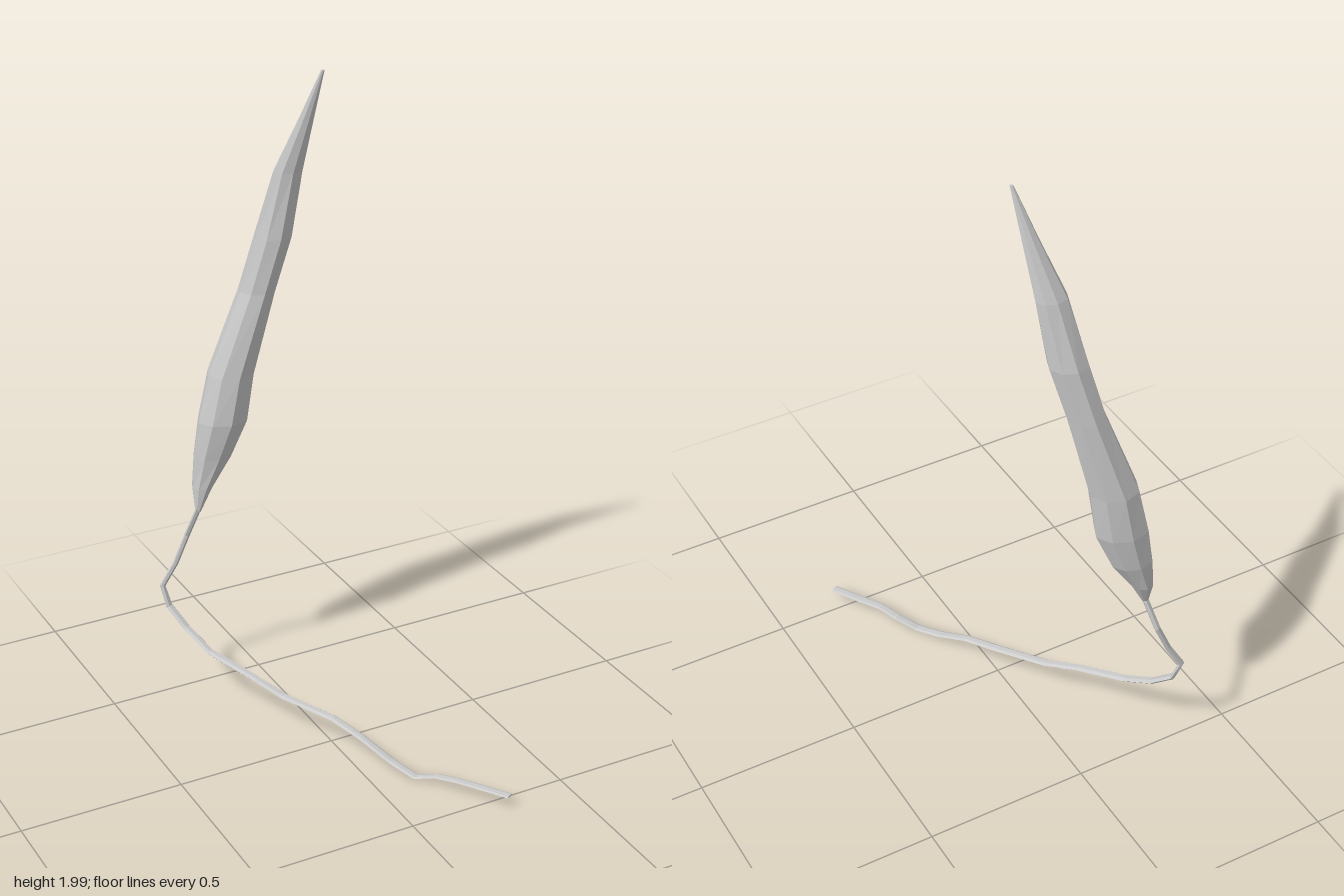
import * as THREE from 'three';

const material = new THREE.MeshStandardMaterial({ color: 0xcccccc, flatShading: true });

// Skins a list of equal-length rings (each running counter-clockwise seen from
// the far end) and closes both ends with a fan.
function loft(name, rings) {
  const n = rings[0].length;
  const points = rings.flat();
  const index = [];
  for (let r = 0; r < rings.length - 1; r++) {
    for (let i = 0; i < n; i++) {
      const a = r * n + i, b = r * n + (i + 1) % n;
      index.push(a, b, b + n, a, b + n, a + n);
    }
  }
  const last = (rings.length - 1) * n;
  for (let i = 1; i < n - 1; i++) {
    index.push(0, i + 1, i, last, last + i, last + i + 1);
  }
  const geometry = new THREE.BufferGeometry().setFromPoints(points);
  geometry.setIndex(index);
  geometry.computeVertexNormals();
  const mesh = new THREE.Mesh(geometry, material);
  mesh.name = name;
  return mesh;
}

// Flattened stem trailing along the ground, then curling up into the bud
function createStem() {
  const path = [
    [0.293, 0.047, 0.55], [0.25, 0.045, 0.48], [0.2, 0.044, 0.405], [0.17, 0.032, 0.345],
    [0.128, 0.011, 0.29], [0.09, 0.031, 0.21], [0.045, 0.07, 0.115], [0, 0.095, 0.01],
    [-0.09, 0.115, -0.14], [-0.15, 0.15, -0.24], [-0.225, 0.185, -0.375],
    [-0.262, 0.235, -0.465], [-0.292, 0.29, -0.525], [-0.303, 0.355, -0.547],
    [-0.26, 0.43, -0.538], [-0.222, 0.52, -0.532], [-0.197, 0.62, -0.497], [-0.185, 0.68, -0.495],
  ].map((p) => new THREE.Vector3(...p));
  const across = new THREE.Vector3(0.87, 0, -0.49).normalize();
  const rings = path.map((p, k) => {
    const tangent = path[Math.min(k + 1, path.length - 1)].clone()
      .sub(path[Math.max(k - 1, 0)]).normalize();
    const side = across.clone().addScaledVector(tangent, -across.dot(tangent)).normalize();
    const up = tangent.clone().cross(side);
    const width = k < 13 ? 0.0145 : 0.011;
    const depth = k < 4 ? 0.003 : Math.min(0.003 + (k - 3) * 0.0008, 0.008);
    return Array.from({ length: 6 }, (_, i) => {
      const a = i * Math.PI / 3;
      return p.clone().addScaledVector(side, width * Math.cos(a))
        .addScaledVector(up, depth * Math.sin(a));
    });
  });
  return loft('stem', rings);
}

// Long closed bud: each section is [y, min x, max x, min z, max z]
function createBud() {
  const sections = [
    [0.61, -0.207, -0.19, -0.505, -0.49],
    [0.69, -0.21, -0.148, -0.537, -0.473],
    [0.79, -0.206, -0.082, -0.55, -0.453],
    [0.91, -0.192, -0.032, -0.555, -0.425],
    [1.06, -0.157, -0.012, -0.55, -0.42],
    [1.32, -0.062, 0.047, -0.513, -0.402],
    [1.49, -0.02, 0.092, -0.486, -0.38],
    [1.69, 0.026, 0.118, -0.437, -0.37],
    [1.85, 0.085, 0.133, -0.378, -0.343],
    [2.0, 0.136, 0.146, -0.323, -0.314],
  ];
  const sides = 8;
  const rings = sections.map(([y, x0, x1, z0, z1]) =>
    Array.from({ length: sides }, (_, i) => {
      const a = i * 2 * Math.PI / sides;
      // Slightly fuller on one diagonal, like folded petals
      const r = i % 2 === 0 ? 1 : (i % 4 === 1 ? 0.94 : 1.04);
      return new THREE.Vector3(
        (x0 + x1) / 2 + r * Math.cos(a) * (x1 - x0) / 2,
        y,
        (z0 + z1) / 2 - r * Math.sin(a) * (z1 - z0) / 2,
      );
    }));
  return loft('bud', rings);
}

export function createModel() {
  const model = new THREE.Group();
  model.name = 'flowerBud';
  model.add(createStem(), createBud());
  return model;
}
